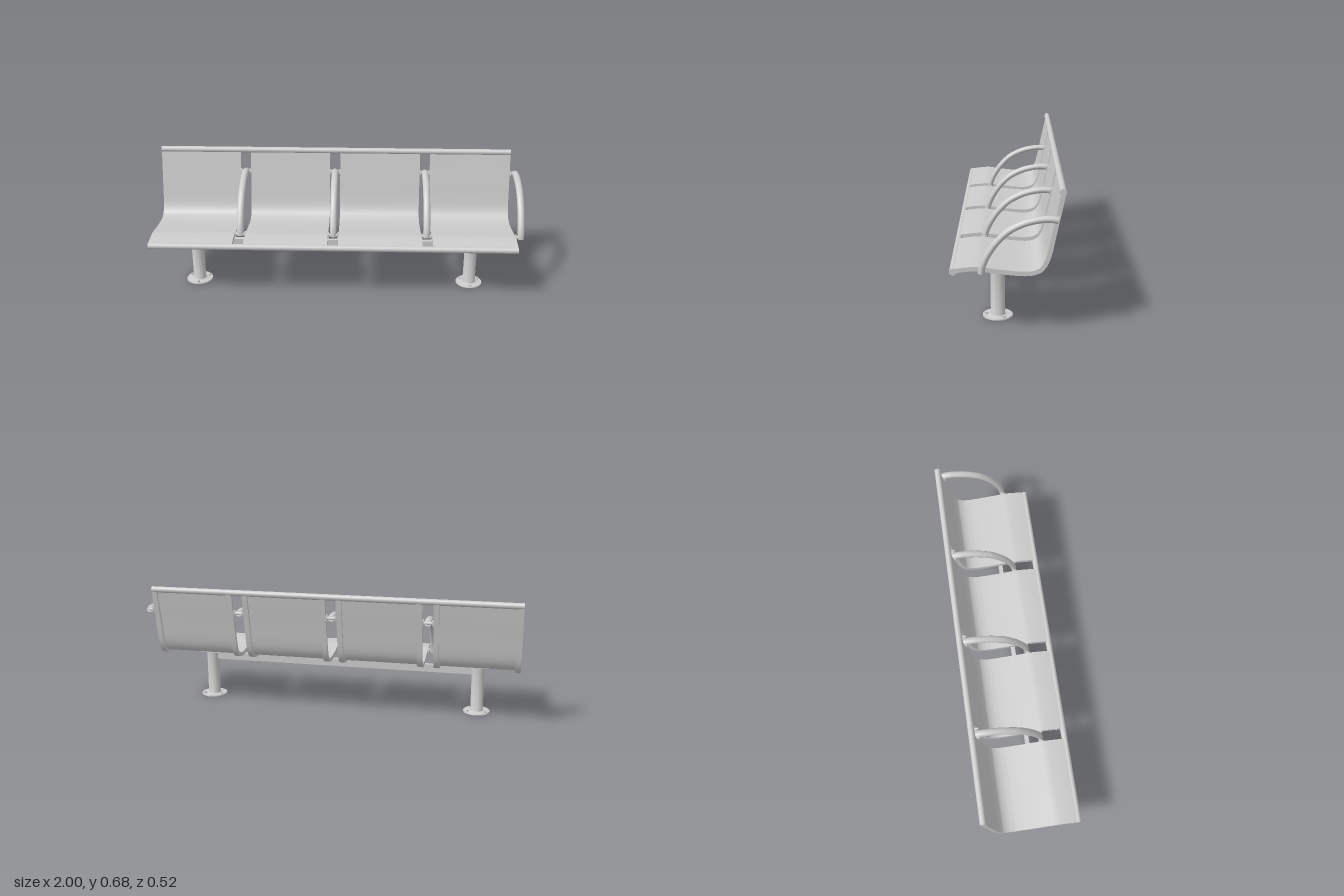
import * as THREE from 'three';
import { toCreasedNormals } from 'three/addons/utils/BufferGeometryUtils.js';

const material = new THREE.MeshStandardMaterial({ color: 0xcccccc });

function add(parent, name, geometry, x = 0, y = 0, z = 0) {
  const mesh = new THREE.Mesh(geometry, material);
  mesh.name = name;
  mesh.position.set(x, y, z);
  parent.add(mesh);
  return mesh;
}

// Cylinder lying along x
function bar(radius, length, sides = 20) {
  return new THREE.CylinderGeometry(radius, radius, length, sides).rotateZ(Math.PI / 2);
}

// Seat surface seen from the side, as [z, y], from front edge to top of back
const seatCurve = new THREE.SplineCurve([
  [0.246, 0.313], [0.2, 0.32], [0.14, 0.325], [0.1, 0.3205], [0.05, 0.3135],
  [0, 0.3075], [-0.05, 0.303], [-0.09, 0.302], [-0.12, 0.307], [-0.145, 0.32],
  [-0.165, 0.351], [-0.18, 0.4], [-0.2, 0.497], [-0.218, 0.581], [-0.235, 0.665],
].map(([z, y]) => new THREE.Vector2(-z, y)));

// Strip between two depths below the seat surface, extruded along x
function seatStrip(top, bottom, width) {
  const steps = 48;
  const offset = (i, depth) => {
    const p = seatCurve.getPoint(i / steps);
    const t = seatCurve.getTangent(i / steps);
    return new THREE.Vector2(p.x + t.y * depth, p.y - t.x * depth);
  };
  const points = [];
  for (let i = 0; i <= steps; i++) points.push(offset(i, bottom));
  for (let i = steps; i >= 0; i--) points.push(offset(i, top));
  const geometry = new THREE.ExtrudeGeometry(new THREE.Shape(points), {
    depth: width, bevelEnabled: false,
  });
  geometry.rotateY(Math.PI / 2).translate(-width / 2, 0, 0);
  return toCreasedNormals(geometry, 0.6);
}

const SEAT_WIDTH = 0.446;
const PITCH = 0.503;
const FIRST_SEAT = -0.777;
const FRAME_WIDTH = 0.028;

function createSeat() {
  const seat = new THREE.Group();
  seat.name = 'seat';
  add(seat, 'seatPanel', seatStrip(0, 0.007, SEAT_WIDTH - 0.002));
  for (const side of [-1, 1]) {
    add(seat, 'seatSideFrame', seatStrip(0.0005, 0.021, FRAME_WIDTH),
      side * (SEAT_WIDTH - FRAME_WIDTH) / 2);
  }
  // Shallow curved saddle between seat and beam
  const saddle = new THREE.Shape();
  saddle.moveTo(-0.19, 0.292);
  saddle.quadraticCurveTo(-0.1, 0.254, 0, 0.253);
  saddle.quadraticCurveTo(0.1, 0.254, 0.19, 0.292);
  saddle.lineTo(0.19, 0.302);
  saddle.lineTo(-0.19, 0.302);
  const geometry = new THREE.ExtrudeGeometry(saddle, {
    depth: 0.072, bevelEnabled: false, curveSegments: 16,
  });
  add(seat, 'seatSaddle', toCreasedNormals(geometry, 0.5), 0, 0, 0.013);
  return seat;
}

function createArmrest(endArm) {
  const arm = new THREE.Group();
  arm.name = 'armrest';
  const path = new THREE.CatmullRomCurve3([
    [0.117, 0.305], [0.112, 0.335], [0.095, 0.378], [0.055, 0.441], [0, 0.497],
    [-0.05, 0.526], [-0.1, 0.544], [-0.165, 0.555], [-0.2, 0.554], [-0.222, 0.55],
  ].map(([z, y]) => new THREE.Vector3(0, y, z)));
  const tube = add(arm, 'armTube', new THREE.TubeGeometry(path, 48, 0.0155, 16));
  tube.scale.x = 1.2;

  // End caps and pins that fix the tube to the seat frames
  const ends = [[0.117, 0.305, 0], [-0.222, 0.55, 1]];
  for (const [z, y, upper] of ends) {
    const cap = add(arm, 'armEndCap', new THREE.CircleGeometry(0.0155, 16), 0, y, z);
    cap.scale.x = 1.2;
    cap.rotation.x = upper ? Math.PI + 0.22 : Math.PI / 2 + 0.12;
    const length = endArm ? 0.03 : 0.062;
    const pinX = endArm ? -0.013 : 0;
    const pinZ = upper ? z + 0.006 : z;
    add(arm, 'armPin', bar(0.0095, length, 16), pinX, upper ? y : y + 0.008, pinZ);
    // Mounting plates against the seat frames
    for (const side of endArm ? [-1] : [-1, 1]) {
      const plate = add(arm, 'armMountPlate', new THREE.BoxGeometry(0.007, 0.024, 0.026),
        side * 0.0255, upper ? y + 0.002 : y + 0.008, pinZ);
      plate.rotation.x = upper ? -0.2 : 0.1;
    }
  }
  return arm;
}

function createLeg() {
  const leg = new THREE.Group();
  leg.name = 'leg';
  const profile = [
    [0, 0], [0.071, 0], [0.072, 0.001], [0.072, 0.006], [0.071, 0.0075],
    [0.039, 0.0075], [0.036, 0.009], [0.034, 0.013], [0.034, 0.253], [0, 0.253],
  ].map(([r, y]) => new THREE.Vector2(r, y));
  add(leg, 'postAndFoot', toCreasedNormals(new THREE.LatheGeometry(profile, 40), 0.6));
  // Three anchor bolts
  for (let i = 0; i < 3; i++) {
    const a = i * Math.PI * 2 / 3;
    const x = Math.sin(a) * 0.056;
    const z = Math.cos(a) * 0.056;
    add(leg, 'boltWasher', new THREE.CylinderGeometry(0.011, 0.011, 0.003, 20), x, 0.008, z);
    add(leg, 'anchorBolt', new THREE.CylinderGeometry(0.008, 0.008, 0.008, 6), x, 0.012, z);
  }
  return leg;
}

export function createModel() {
  const bench = new THREE.Group();
  bench.name = 'bench';

  for (let i = 0; i < 4; i++) {
    const x = FIRST_SEAT + i * PITCH;
    const seat = createSeat();
    seat.position.x = x;
    bench.add(seat);
    const arm = createArmrest(i === 3);
    arm.position.x = x + PITCH / 2 + (i === 3 ? 0.001 : 0);
    bench.add(arm);
  }

  // Full-length round rails along front edge and top of back
  add(bench, 'frontRail', bar(0.016, 1.955, 28), -0.0225, 0.299, 0.246);
  add(bench, 'topRail', bar(0.016, 1.955, 28), -0.0225, 0.667, -0.243);

  // Beam joining the posts
  add(bench, 'supportBeam', new THREE.BoxGeometry(1.46, 0.042, 0.022), -0.025, 0.234, 0.048);

  for (const x of [FIRST_SEAT, FIRST_SEAT + 3 * PITCH]) {
    const leg = createLeg();
    leg.position.set(x, 0, 0.048);
    bench.add(leg);
  }
  return bench;
}
